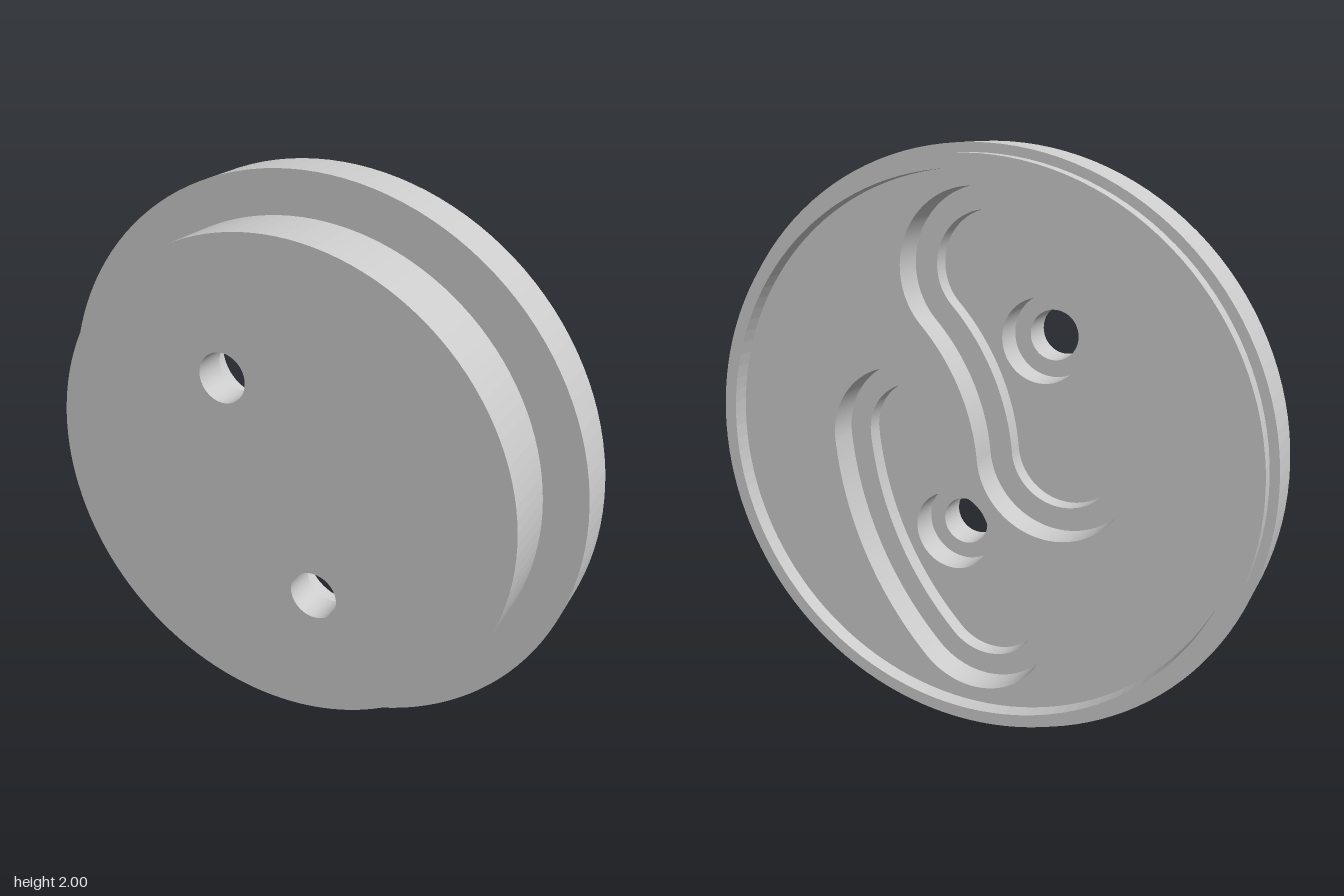
import * as THREE from 'three';

const TAU = Math.PI * 2;

// Full circle as a shape or a hole path
const circle = (r, x = 0, y = 1, Type = THREE.Shape) => new Type().absarc(x, y, r, 0, TAU, false);

// Curved slot of half-width r; turn = 0 or PI gives the two point-symmetric slots
function slot(r, turn) {
  const s = turn ? -1 : 1, R = 1;
  const cx = 0.72 * s, cy = 1 - 0.09 * s;
  const a0 = 2.378 + turn, a1 = 3.05 + turn;
  const end = a => [cx + R * Math.cos(a), cy + R * Math.sin(a)];
  const p = new THREE.Path();
  p.absarc(cx, cy, R + r, a0, a1, false);
  p.absarc(...end(a1), r, a1, a1 + Math.PI, false);
  p.absarc(cx, cy, R - r, a1, a0, true);
  p.absarc(...end(a0), r, a0 + Math.PI, a0 + TAU, false);
  return p;
}

export function createModel() {
  const model = new THREE.Group();
  const material = new THREE.MeshStandardMaterial({ color: 0xcccccc });

  // Round plate between two depths, with holes cut through it
  function layer(name, radius, z0, z1, holes) {
    const shape = circle(radius);
    shape.holes.push(...holes);
    const geometry = new THREE.ExtrudeGeometry(shape, { depth: z1 - z0, bevelEnabled: false, curveSegments: 64 });
    const mesh = new THREE.Mesh(geometry, material);
    mesh.name = name;
    mesh.position.z = z0;
    model.add(mesh);
  }

  const screwHoles = r => [[-0.17, 1.363], [0.17, 0.637]].map(([x, y]) => circle(r, x, y, THREE.Path));
  const slots = r => [0, Math.PI].map(turn => slot(r, turn));

  // Front boss with screw holes, widened behind as counterbores
  layer('frontPlate', 0.855, 0.11, 0.228, screwHoles(0.087));
  layer('counterborePlate', 0.855, 0, 0.11, screwHoles(0.145));
  // Flange with stepped slots open to the back
  layer('flangeInnerSlots', 1, -0.06, 0, slots(0.188));
  layer('flangeOuterSlots', 1, -0.17, -0.06, slots(0.268));
  // Raised rim around the back
  layer('backRim', 0.97, -0.228, -0.17, [circle(0.925, 0, 1, THREE.Path)]);

  return model;
}
